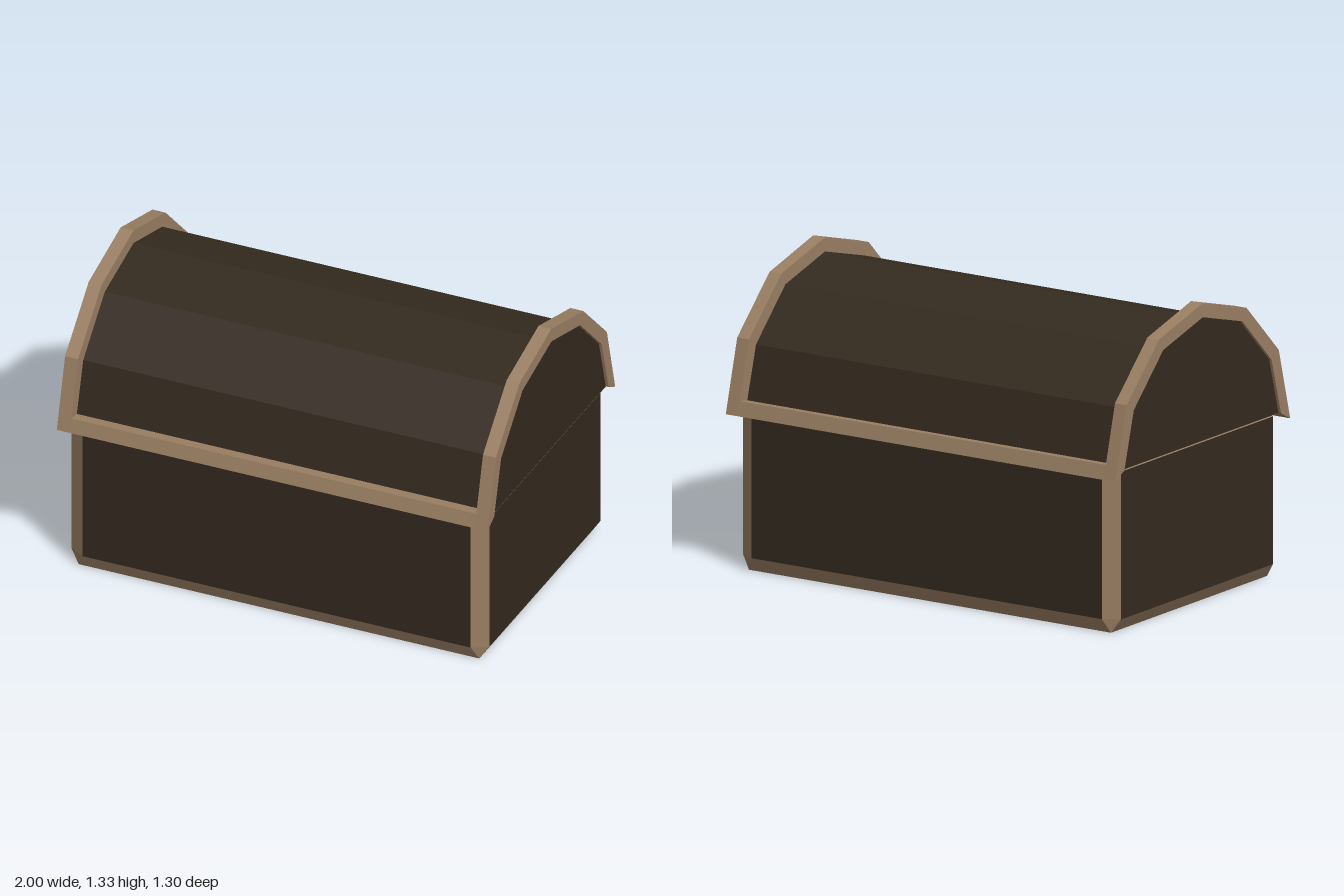
import * as THREE from 'three';

function material(name, color) {
  const m = new THREE.MeshStandardMaterial({ color, side: THREE.DoubleSide, flatShading: true });
  m.name = name;
  return m;
}
const trim = material('tanTrim', 0x9b8064);
const wood = material('darkWood', 0x342a1f);
const inside = material('innerWood', 0x786453);

// flat convex polygons, each a list of [x, y, z] corners, in one mesh
function faces(name, material, polygons) {
  const pos = [];
  for (const p of polygons) {
    // wind every polygon so that it faces away from the middle of the chest
    const [a, b, c] = p.map(v => new THREE.Vector3(...v));
    const n = b.clone().sub(a).cross(c.clone().sub(a));
    const q = n.dot(a.clone().sub(new THREE.Vector3(0, 0.4, 0))) < 0 ? [...p].reverse() : p;
    for (let i = 1; i < q.length - 1; i++) pos.push(...q[0], ...q[i], ...q[i + 1]);
  }
  const g = new THREE.BufferGeometry();
  g.setAttribute('position', new THREE.Float32BufferAttribute(pos, 3));
  g.computeVertexNormals();
  const m = new THREE.Mesh(g, material);
  m.name = name;
  return m;
}

// (z, y) outline extruded along x between x0 and x1
function prism(name, material, outline, x0, x1) {
  const shape = new THREE.Shape(outline.map(([z, y]) => new THREE.Vector2(-z, y)));
  const g = new THREE.ExtrudeGeometry(shape, { depth: x1 - x0, bevelEnabled: false });
  g.rotateY(Math.PI / 2).translate(x0, 0, 0);
  const m = new THREE.Mesh(g, material);
  m.name = name;
  return m;
}

// half profile (front to ridge) completed to the full arch
const mirrorArch = half => [...half, ...half.slice(0, -1).reverse().map(([z, y]) => [-z, y])];

export function createModel() {
  const chest = new THREE.Group();
  chest.name = 'chest';

  // box: flat panels with bevelled edges, open underneath
  const X = 0.97, Z = 0.605, xi = 0.9, zi = 0.565, xb = 0.93, zb = 0.58;
  const y0 = 0.06, y1 = 0.705, yTop = 0.716, yFloor = 0.195;
  const box = new THREE.Group();
  box.name = 'box';
  const panels = [], edges = [];
  for (const s of [1, -1]) {
    panels.push([[-xi, y0, s * Z], [xi, y0, s * Z], [xi, y1, s * Z], [-xi, y1, s * Z]]);
    panels.push([[s * X, y0, -zi], [s * X, y0, zi], [s * X, y1, zi], [s * X, y1, -zi]]);
    // bottom and top bevels
    for (const [ya, yb] of [[y0, 0], [y1, yTop]]) {
      edges.push([[-xi, ya, s * Z], [xi, ya, s * Z], [xb, yb, s * zb], [-xb, yb, s * zb]]);
      edges.push([[s * X, ya, -zi], [s * X, ya, zi], [s * xb, yb, zb], [s * xb, yb, -zb]]);
    }
    // corner posts with pointed ends
    for (const t of [1, -1]) {
      edges.push([[s * xi, y0, t * Z], [s * X, y0, t * zi], [s * X, y1, t * zi], [s * xi, y1, t * Z]]);
      edges.push([[s * xi, y0, t * Z], [s * X, y0, t * zi], [s * xb, 0, t * zb]]);
      edges.push([[s * xi, y1, t * Z], [s * X, y1, t * zi], [s * xb, yTop, t * zb]]);
    }
  }
  box.add(faces('sidePanels', wood, panels));
  box.add(faces('edgeTrim', trim, edges));
  box.add(faces('floor', inside, [[
    [xi, yFloor, Z], [X, yFloor, zi], [X, yFloor, -zi], [xi, yFloor, -Z],
    [-xi, yFloor, -Z], [-X, yFloor, -zi], [-X, yFloor, zi], [-xi, yFloor, Z]]]));
  chest.add(box);

  // lid: faceted barrel with a raised arch at each end
  const lid = new THREE.Group();
  lid.name = 'lid';
  const inner = mirrorArch([[0.582, 0.719], [0.512, 0.967], [0.293, 1.183], [0, 1.263]]);
  const outer = mirrorArch([[0.65, 0.683], [0.565, 1.0], [0.325, 1.235], [0, 1.325]]);
  const xLid = 0.987;
  lid.add(prism('barrel', wood, inner, -xLid, xLid));
  lid.add(faces('lidUnderside', inside, [
    [[-xLid, 0.717, 0.582], [xLid, 0.717, 0.582], [xLid, 0.717, -0.582], [-xLid, 0.717, -0.582]]]));
  const arch = [...outer, ...[...inner].reverse()];
  lid.add(prism('leftArch', trim, arch, 0.94, 1));
  lid.add(prism('rightArch', trim, arch, -1, -0.94));

  // rails along the lower front and back edges
  const rail = [[0.65, 0.683], [0.633, 0.745], [0.576, 0.737], [0.582, 0.719]];
  lid.add(prism('frontRail', trim, rail, -0.94, 0.94));
  lid.add(prism('backRail', trim, rail.map(([z, y]) => [-z, y]), -0.94, 0.94));
  chest.add(lid);

  return chest;
}
